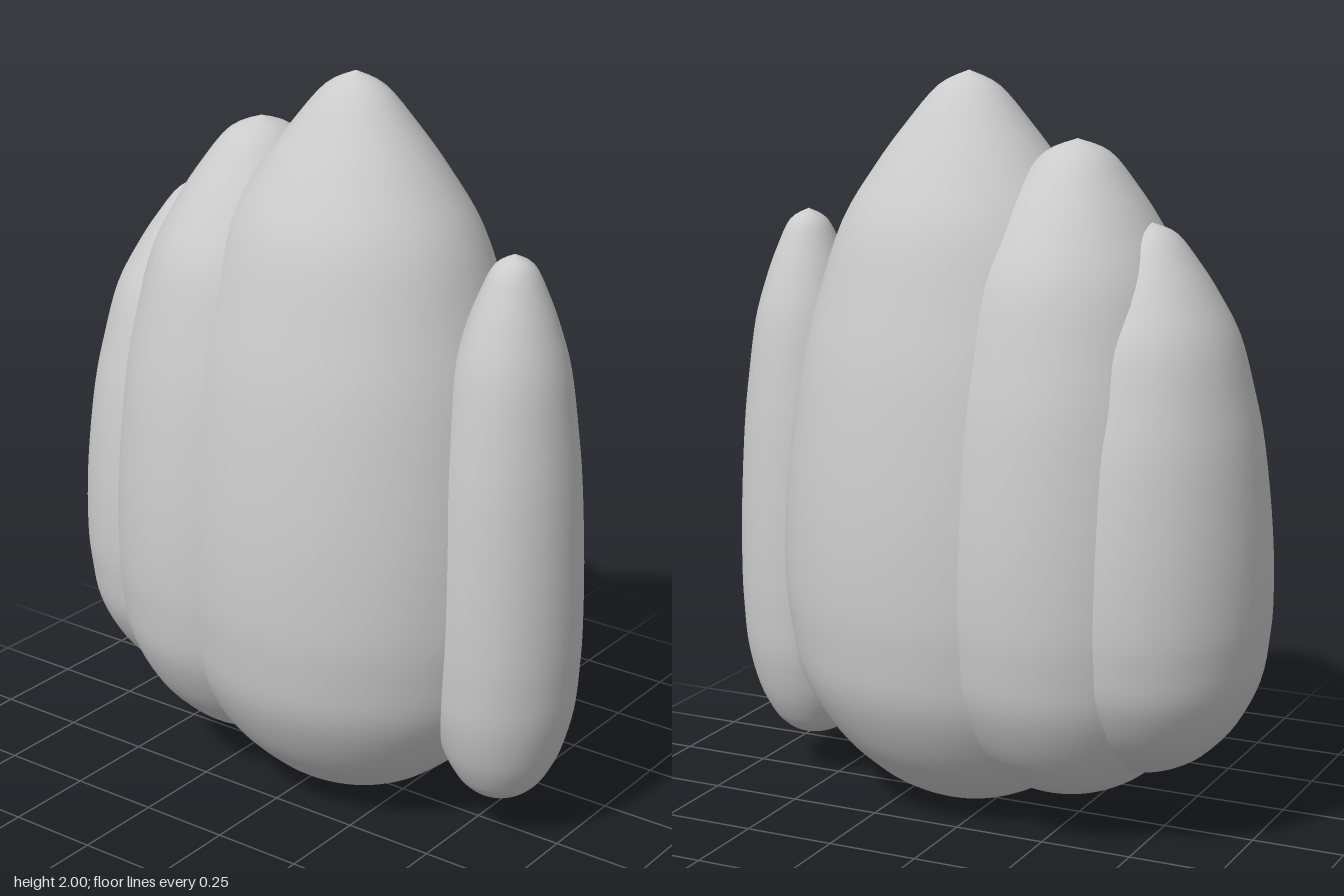
import * as THREE from 'three';

// Egg-like profile shared by every lobe: [radius, height], both 0..1
const PROFILE = [
  [0, 0], [0.18, 0.008], [0.36, 0.025], [0.52, 0.05], [0.73, 0.1], [0.91, 0.175],
  [0.975, 0.25], [1, 0.325], [0.98, 0.45], [0.9, 0.6], [0.8, 0.7], [0.67, 0.8],
  [0.49, 0.875], [0.33, 0.93], [0.16, 0.98], [0, 1],
];

// fullness below 1 makes the ends of the lobe blunter
function lobeGeometry(fullness) {
  const curve = new THREE.SplineCurve(
    PROFILE.map(([r, h]) => new THREE.Vector2(Math.pow(r, fullness), h)));
  const points = curve.getPoints(60);
  points.forEach((p) => { p.x = Math.max(p.x, 0); });
  points[0].set(0, 0);
  points[points.length - 1].set(0, 1);
  return new THREE.LatheGeometry(points, 56);
}

export function createModel() {
  const group = new THREE.Group();
  group.name = 'lobedBody';
  const material = new THREE.MeshStandardMaterial({ color: 0xcccccc });

  // Overlapping upright lobes, from the model's left to its right
  const lobes = [
    { name: 'smallSideLobe', x: 0.58, z: 0.02, rx: 0.2, rz: 0.21, bottom: 0.11, top: 1.61, fullness: 0.75 },
    { name: 'mainLobe', x: 0.08, z: 0, rx: 0.52, rz: 0.447, bottom: 0, top: 2, fullness: 1 },
    { name: 'middleLobe', x: -0.24, z: -0.02, rx: 0.4, rz: 0.435, bottom: 0.08, top: 1.835, fullness: 0.85 },
    { name: 'outerLobe', x: -0.455, z: -0.03, rx: 0.325, rz: 0.36, bottom: 0.17, top: 1.63, fullness: 0.9 },
  ];

  for (const l of lobes) {
    const mesh = new THREE.Mesh(lobeGeometry(l.fullness), material);
    mesh.name = l.name;
    mesh.position.set(l.x, l.bottom, l.z);
    mesh.scale.set(l.rx, l.top - l.bottom, l.rz);
    group.add(mesh);
  }
  return group;
}
